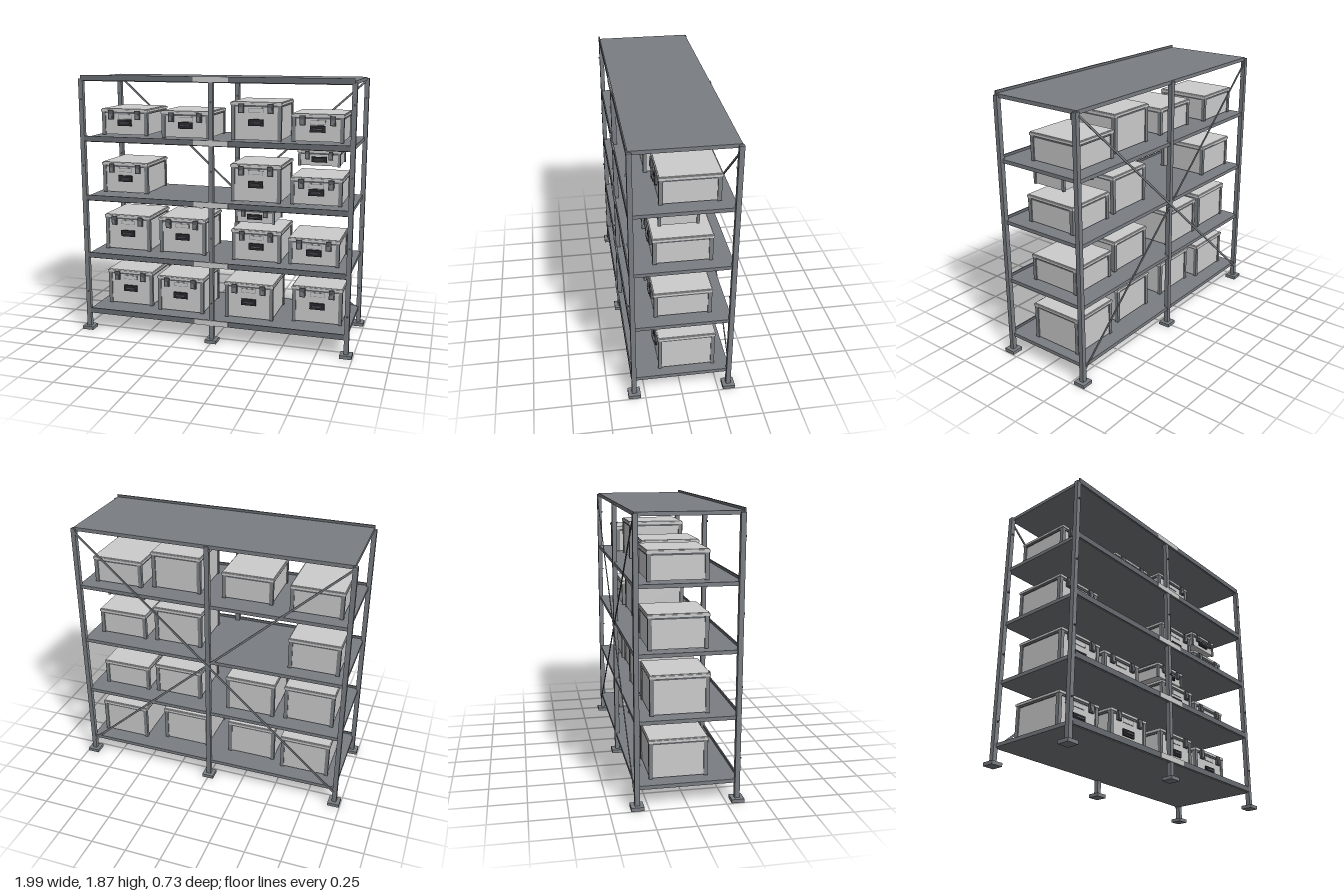
import * as THREE from 'three';

const mat = (name, color) => {
  const m = new THREE.MeshStandardMaterial({ color });
  m.name = name;
  return m;
};

export function createModel() {
  const steel = mat('grey steel', 0x7a7e83);
  const beamGrey = mat('dark beam grey', 0x686c71);
  const pale = mat('pale grey', 0xcdcdcd);
  const frameGrey = mat('frame grey', 0x7f8386);
  const latchGrey = mat('latch grey', 0x5c5f64);
  const black = mat('near black', 0x2a2a30);

  const root = new THREE.Group();
  root.name = 'storageRack';

  // Box given by its size and centre
  const box = (parent, name, material, w, h, d, x, y, z) => {
    const m = new THREE.Mesh(new THREE.BoxGeometry(w, h, d), material);
    m.name = name;
    m.position.set(x, y, z);
    parent.add(m);
    return m;
  };

  // Posts, feet and bolts
  for (const x of [-0.955, 0, 0.955]) {
    for (const z of [-0.324, 0.324]) {
      box(root, 'post', steel, 0.032, 1.823, 0.032, x, 0.9315, z);
      box(root, 'foot', steel, 0.083, 0.024, 0.083, x, 0.012, z);
      for (const y of [0.29, 0.76, 1.23, 1.7]) {
        const bolt = new THREE.Mesh(new THREE.CylinderGeometry(0.006, 0.006, 0.008, 8), latchGrey);
        bolt.name = 'bolt';
        bolt.rotation.x = Math.PI / 2;
        bolt.position.set(x, y, z + 0.02);
        root.add(bolt);
      }
    }
  }

  // Shelves, front beams and pale centre plates
  const shelfTops = [0.147, 0.573, 1.0, 1.426, 1.851];
  shelfTops.forEach((top, i) => {
    const last = i === shelfTops.length - 1;
    box(root, 'shelf', steel, 1.906, 0.025, 0.662, 0, top - 0.0125, 0);
    box(root, 'frontBeam', beamGrey, last ? 1.91 : 1.88, 0.038, 0.009, 0, top - 0.002, 0.3365);
    box(root, 'centrePlate', pale, 0.245, 0.038, 0.004, 0, top - 0.002, 0.343);
  });

  // Crossed braces at the back
  for (const s of [-1, 1]) {
    const brace = box(root, 'brace', steel, Math.hypot(1.89, 1.71), 0.014, 0.006, 0, 0.965, -0.338 - s * 0.003);
    brace.rotation.z = s * Math.atan2(1.71, 1.89);
  }

  // Lidded crate: origin at the base centre, front at z = d / 2
  const crate = (name, x, y, front, w, h, d, small) => {
    const g = new THREE.Group();
    g.name = name;
    g.position.set(x, y, front - d / 2);
    const lidH = 0.022, bodyH = h - lidH;
    const p = small ? 0.018 : 0.026;
    const ow = w - 0.008, od = d - 0.008;
    box(g, 'body', pale, ow - 0.014, bodyH - 0.004, od - 0.014, 0, bodyH / 2 + 0.002, 0);
    for (const sx of [-1, 1]) {
      for (const sz of [-1, 1]) {
        box(g, 'cornerPost', frameGrey, p, bodyH, p, sx * (ow - p) / 2, bodyH / 2, sz * (od - p) / 2);
      }
    }
    box(g, 'rim', latchGrey, ow - 0.004, 0.014, od - 0.004, 0, bodyH - 0.006, 0);
    box(g, 'lid', pale, w, lidH - 0.006, d, 0, h - 0.014, 0);
    box(g, 'lidTop', pale, w - 0.012, 0.006, d - 0.012, 0, h - 0.003, 0);

    // Latches
    const lx = small ? 0.08 : 0.103, lh = small ? 0.055 : 0.065;
    for (const s of [-1, 1]) {
      box(g, 'latch', latchGrey, small ? 0.028 : 0.038, lh, 0.016, s * lx, h - 0.012 - lh / 2, d / 2 + 0.003);
      box(g, 'latchTab', frameGrey, 0.02, 0.03, 0.006, s * lx, h - lh + 0.012, d / 2 + 0.012);
    }

    // Handle with a paler grip, and a blank plate above it
    const hy = small ? h * 0.4 : h * 0.47, hh = small ? 0.036 : 0.046;
    box(g, 'handlePlate', black, 0.105, hh, 0.012, 0, hy, d / 2 - 0.005);
    box(g, 'handleGrip', latchGrey, 0.07, 0.012, 0.014, 0, hy, d / 2 + 0.006);
    if (!small) {
      box(g, 'blankPlate', frameGrey, 0.104, 0.03, 0.004, 0, h - 0.057, d / 2 - 0.01);
      box(g, 'blankPlateFace', pale, 0.098, 0.024, 0.004, 0, h - 0.057, d / 2 - 0.009);
    }
    root.add(g);
  };

  // Crates per shelf: x, front z, height
  const L = 0.19, M = 0.226, H = 0.264;
  const rows = [
    [[-0.697, 0.155, H], [-0.28, 0.205, H], [0.235, 0.205, H], [0.717, 0.153, H]],
    [[-0.706, 0.16, H], [-0.283, 0.145, H], [0.283, 0.19, M], [0.69, 0.178, L]],
    [[-0.722, 0.145, M], [0.278, 0.2, H], [0.697, 0.185, L]],
    [[-0.717, 0.142, L], [-0.235, 0.19, L], [0.273, 0.185, H], [0.69, 0.145, L]],
  ];
  rows.forEach((row, i) => {
    for (const [x, front, h] of row) crate('crate', x, shelfTops[i] + 0.006, front, 0.362, h, 0.392, false);
  });

  // Small cases above the crates
  crate('smallCase', 0.259, 0.843, 0.148, 0.296, 0.114, 0.267, true);
  crate('smallCase', 0.706, 1.27, 0.148, 0.296, 0.114, 0.267, true);

  return root;
}
